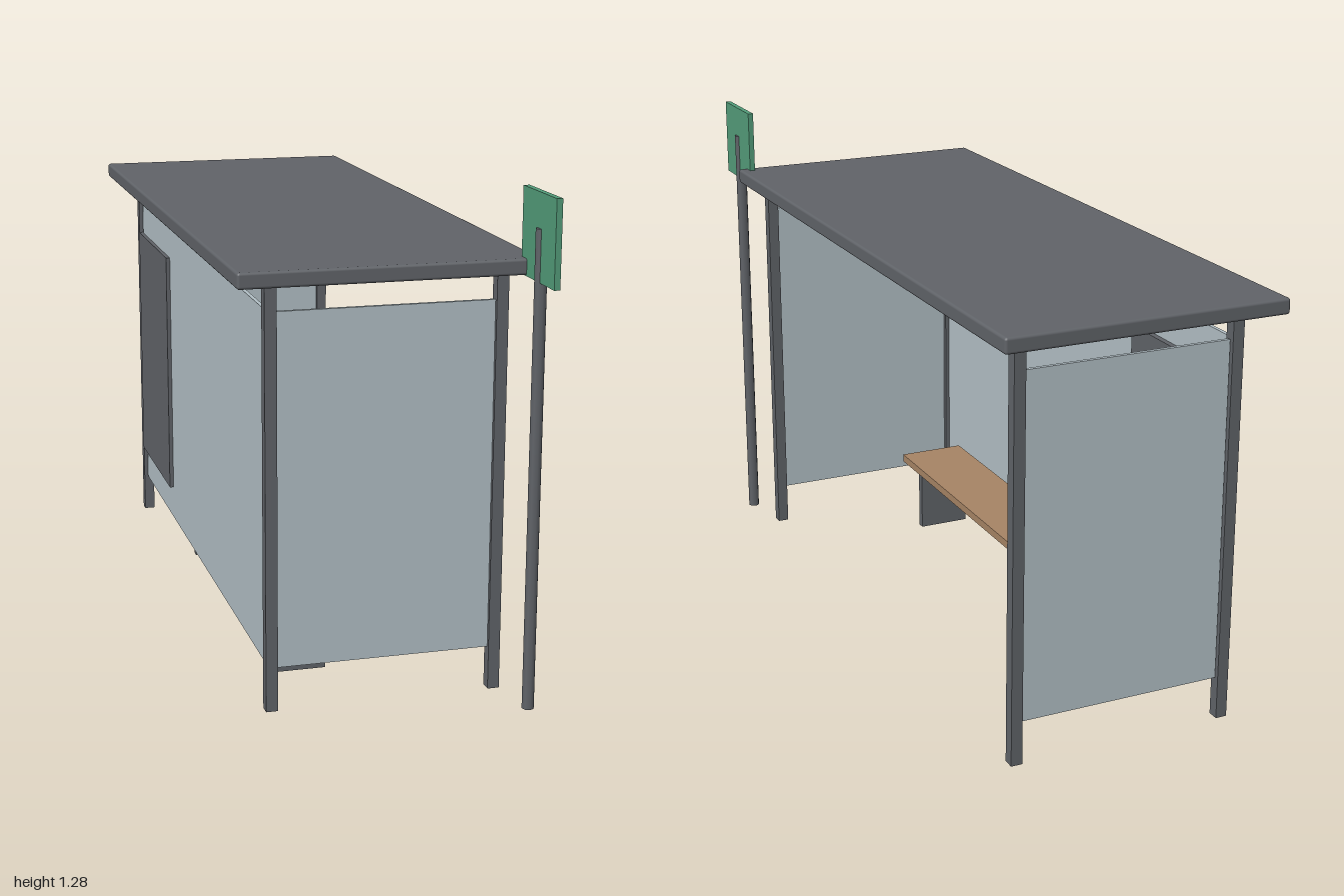
import * as THREE from 'three';
import { RoundedBoxGeometry } from 'three/addons/geometries/RoundedBoxGeometry.js';

const material = (name, color) => {
  const m = new THREE.MeshStandardMaterial({ color });
  m.name = name;
  return m;
};

export function createModel() {
  const model = new THREE.Group();
  model.name = 'shelter';

  const metal = material('dark grey metal', 0x606368);
  const glass = material('pale blue glass', 0xb2bfc5);
  const wood = material('bench wood', 0xa68465);
  const green = material('sign green', 0x539c79);

  const add = (name, geometry, mat, x, y, z) => {
    const mesh = new THREE.Mesh(geometry, mat);
    mesh.name = name;
    mesh.position.set(x, y, z);
    model.add(mesh);
  };

  // Box given by its limits on each axis
  const box = (name, mat, [x0, x1], [y0, y1], [z0, z1]) =>
    add(name, new THREE.BoxGeometry(x1 - x0, y1 - y0, z1 - z0), mat,
      (x0 + x1) / 2, (y0 + y1) / 2, (z0 + z1) / 2);

  // Flat roof with softened edges
  add('roof', new RoundedBoxGeometry(0.74, 0.04, 1.825, 2, 0.007), metal, 0, 1.09, -0.0875);

  // Corner posts and the glass end walls between them
  const backX = -0.277, openX = 0.297, h = 0.015;
  for (const z of [0.748, -0.913]) {
    for (const x of [backX, openX]) {
      box('post', metal, [x - h, x + h], [0, 1.075], [z - h, z + h]);
    }
    box('endWall', glass, [-0.26, 0.282], [0.11, 1.0], [z - 0.005, z + 0.005]);
  }

  // Long glass wall and its display panel
  box('backWall', glass, [backX - 0.005, backX + 0.005], [0.11, 1.0], [-0.89, 0.73]);
  box('displayPanel', metal, [-0.293, -0.257], [0.205, 0.905], [-0.9, -0.455]);

  // Bench
  box('benchSeat', wood, [-0.246, -0.056], [0.188, 0.21], [-0.51, 0.6]);
  for (const z of [0.514, -0.422]) {
    box('benchLeg', metal, [-0.225, -0.077], [0, 0.188], [z - 0.011, z + 0.011]);
  }

  // Stop sign on its pole
  add('signPole', new THREE.CylinderGeometry(0.016, 0.016, 1.195, 8), metal, 0.338, 0.5975, 0.898);
  box('signPlate', green, [0.331, 0.346], [1.068, 1.28], [0.79, 1.0]);

  return model;
}
